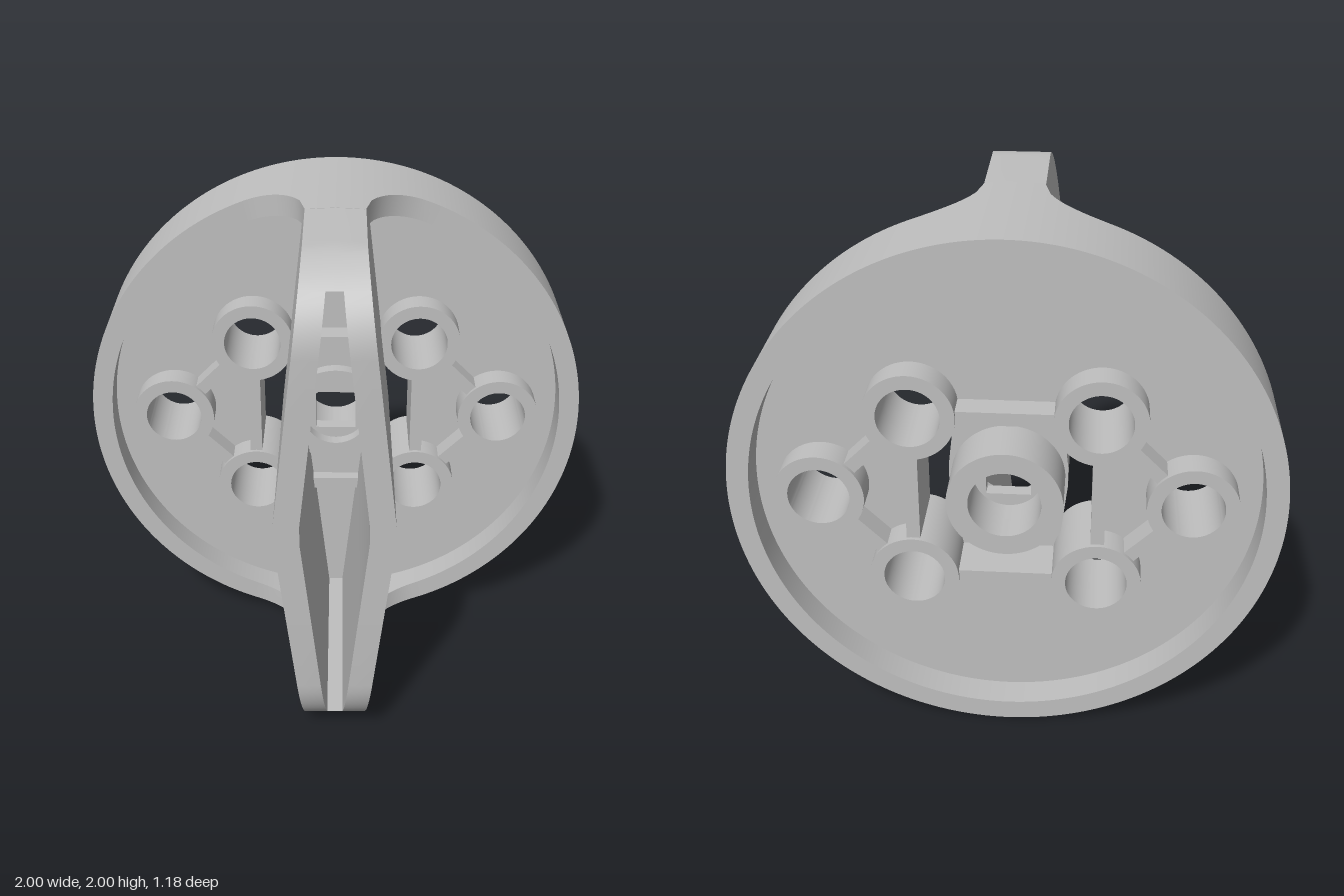
import * as THREE from 'three';
import { toCreasedNormals } from 'three/addons/utils/BufferGeometryUtils.js';

const grey = new THREE.MeshStandardMaterial({ color: 0xbfbfbf, side: THREE.DoubleSide });
grey.name = 'grey plastic';

const circle = (x, y, r) => new THREE.Path().absarc(x, y, r, 0, Math.PI * 2, true);
const polygon = (pts, Type = THREE.Path) => new Type(pts.map(([x, y]) => new THREE.Vector2(x, y)));

function disc(r, x = 0, y = 0) {
  const s = new THREE.Shape();
  s.absarc(x, y, r, 0, Math.PI * 2, false);
  return s;
}

// extrude a shape with holes between two z levels
function slab(shape, holes, z0, z1) {
  shape.holes.push(...holes);
  const g = new THREE.ExtrudeGeometry(shape, { depth: z1 - z0, bevelEnabled: false, curveSegments: 48 });
  g.translate(0, 0, z0);
  return toCreasedNormals(g, 0.3);
}

// geometry from a list of four-cornered faces
function fromQuads(quads) {
  const pos = [];
  for (const [a, b, c, d] of quads) for (const p of [a, b, c, a, c, d]) pos.push(...p);
  const g = new THREE.BufferGeometry();
  g.setAttribute('position', new THREE.Float32BufferAttribute(pos, 3));
  g.computeVertexNormals();
  return toCreasedNormals(g, 0.3);
}

// rim whose front edge sweeps up in a fillet to meet the grip
function rimGeometry() {
  const n = 288, back = -0.585, quads = [];
  const frontZ = (x) => {
    const u = 0.35 - Math.min(0.35, Math.max(0.11, Math.abs(x)));
    return -0.02 - Math.sqrt(Math.max(0, 0.0576 - u * u));
  };
  const section = (i) => {
    const a = (i / n) * Math.PI * 2, c = Math.cos(a), s = Math.sin(a);
    return [[c, s, back], [c, s, frontZ(c)], [0.92 * c, 0.92 * s, frontZ(0.92 * c)], [0.92 * c, 0.92 * s, back]];
  };
  for (let i = 0; i < n; i++) {
    const p = section(i), q = section(i + 1);
    for (let k = 0; k < 4; k++) {
      const m = (k + 1) % 4;
      quads.push([p[k], q[k], q[m], p[m]]);
    }
  }
  return fromQuads(quads);
}

const gripHalf = (d) => 0.11 + 0.115 * (1 - Math.abs(d));
const SLOT = 0.91;

// diamond-plan grip with rounded ends and a tapering slot in its front
function gripGeometry() {
  const back = -0.38, quads = [];
  const half = [0.04, 0.4, SLOT];
  for (let i = 0; i <= 12; i++) half.push(0.7 + 0.3 * Math.sin((i / 12) * Math.PI / 2));
  half.sort((a, b) => a - b);
  const rows = [...half.map((d) => -d).reverse(), ...half];
  const zf = (d) => {
    const u = Math.max(0, Math.abs(d) - 0.7);
    return 0.29 + Math.sqrt(Math.max(0, 0.09 - u * u));
  };
  const slotHalf = (d) => 0.03 + 0.1 * (SLOT - Math.abs(d)) / SLOT;
  const pt = (x, d, z) => {
    const lim = Math.sqrt(1 - x * x);
    return [x, Math.max(-lim, Math.min(lim, d)), z];
  };
  for (const sx of [1, -1]) {
    const add = (...q) => quads.push(sx > 0 ? q : q.reverse());
    for (let j = 0; j + 1 < rows.length; j++) {
      const a = rows[j], b = rows[j + 1];
      const solid = Math.min(Math.abs(a), Math.abs(b)) >= SLOT - 1e-6;
      const wa = sx * gripHalf(a), wb = sx * gripHalf(b);
      const sa = solid ? 0 : sx * slotHalf(a), sb = solid ? 0 : sx * slotHalf(b);
      const za = zf(a), zb = zf(b);
      add(pt(wa, a, back), pt(wb, b, back), pt(wb, b, zb), pt(wa, a, za));
      add(pt(sa, a, za), pt(wa, a, za), pt(wb, b, zb), pt(sb, b, zb));
      if (!solid) add(pt(sa, a, za), pt(sb, b, zb), pt(sb, b, back), pt(sa, a, back));
    }
    // slot end walls and the outer end faces
    for (const e of [1, -1]) {
      const s = sx * 0.03, w = sx * gripHalf(1), d = e * SLOT;
      const end = [pt(0, d, back), pt(s, d, back), pt(s, d, zf(d)), pt(0, d, zf(d))];
      const cap = [pt(0, e, 0.29), pt(w, e, 0.29), pt(w, e, -0.05), pt(0, e, -0.05)];
      add(...(e > 0 ? end : end.reverse()));
      add(...(e > 0 ? cap : cap.reverse()));
    }
  }
  return fromQuads(quads);
}

export function createModel() {
  const model = new THREE.Group();
  model.name = 'knob';
  const body = new THREE.Group();
  body.name = 'knobBody';
  body.position.y = 1;
  model.add(body);
  const add = (name, geometry) => {
    const m = new THREE.Mesh(geometry, grey);
    m.name = name;
    body.add(m);
    return m;
  };

  add('rim', rimGeometry());
  add('grip', gripGeometry());

  // socket centres
  const sockets = [[0.67, 0], [0.335, 0.335], [-0.335, 0.335], [-0.67, 0], [-0.335, -0.335], [0.335, -0.335]];

  // web plate with socket holes and a central opening
  const p = 0.315, q = 0.175;
  const opening = polygon([[p, -q], [p, q], [q, p], [-q, p], [-p, q], [-p, -q], [-q, -p], [q, -p]]);
  add('web', slab(disc(0.93), [opening, ...sockets.map(([x, y]) => circle(x, y, 0.113))], -0.47, -0.37));

  // socket tubes
  for (const [x, y] of sockets) {
    add('socket', slab(disc(0.165, x, y), [circle(x, y, 0.113)], -0.58, -0.27));
  }

  // ribs joining neighbouring sockets, stopped at the tube walls
  const rib = ([x0, y0], [x1, y1]) => {
    const len = Math.hypot(x1 - x0, y1 - y0) - 0.28;
    const m = add('rib', new THREE.BoxGeometry(len, 0.05, 0.28));
    m.position.set((x0 + x1) / 2, (y0 + y1) / 2, -0.425);
    m.rotation.z = Math.atan2(y1 - y0, x1 - x0);
  };
  sockets.forEach((s, i) => rib(s, sockets[(i + 1) % 6]));
  rib(sockets[1], sockets[5]);
  rib(sockets[2], sockets[4]);

  // floor of the grip with a square drive hole
  const e = 0.36, w = gripHalf(e), m = gripHalf(0.04), h = 0.083;
  const floor = polygon([[w, -e], [m, -0.04], [m, 0.04], [w, e], [-w, e], [-m, 0.04], [-m, -0.04], [-w, -e]], THREE.Shape);
  add('gripFloor', slab(floor, [polygon([[-h, -h], [-h, h], [h, h], [h, -h]])], -0.385, -0.33));

  // central boss
  add('boss', slab(disc(0.21), [circle(0, 0, 0.132)], -0.59, -0.28));
  return model;
}
